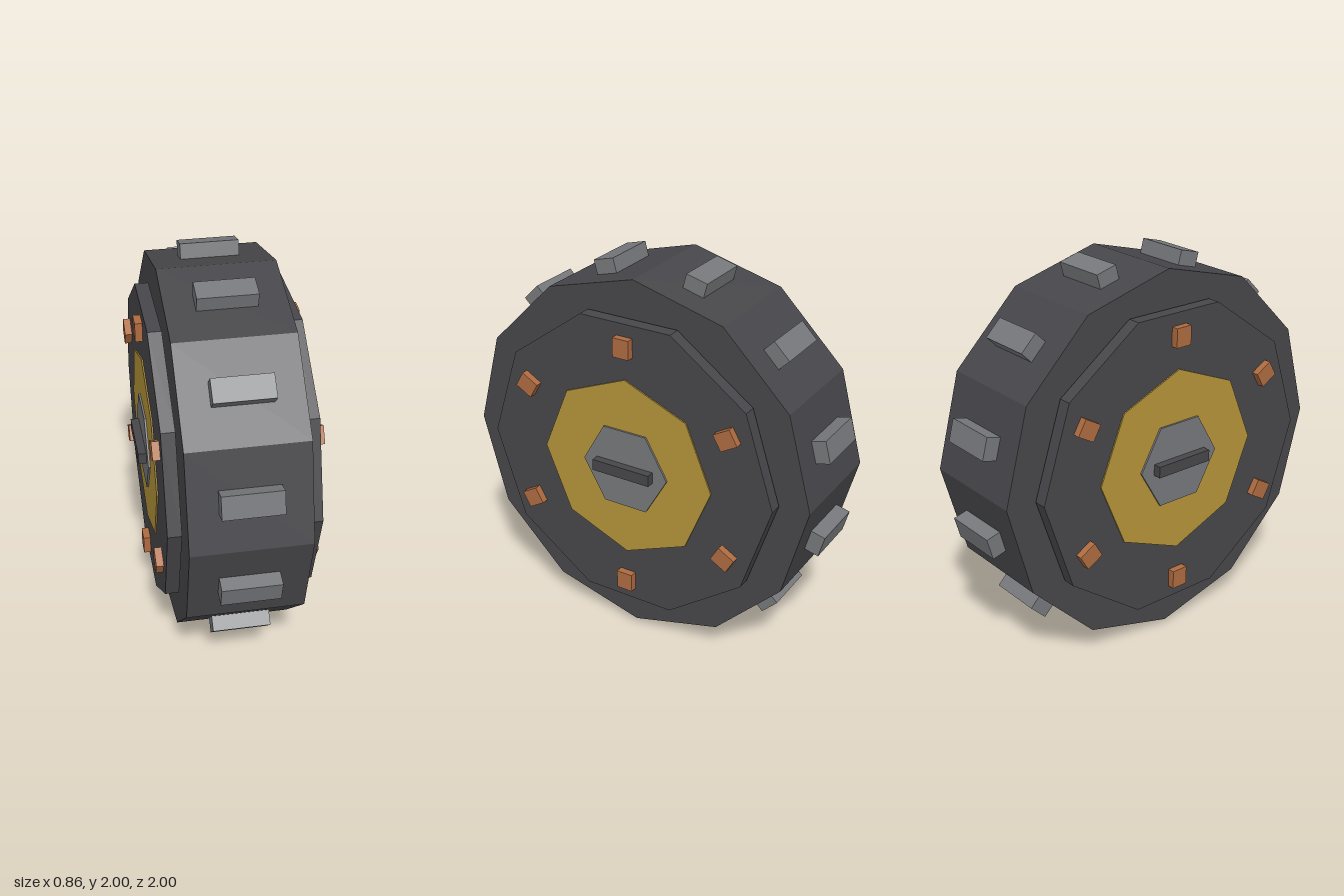
import * as THREE from 'three';

const rubber = new THREE.MeshStandardMaterial({ color: 0x47474b });
rubber.name = 'dark rubber';
const steel = new THREE.MeshStandardMaterial({ color: 0x76787b });
steel.name = 'grey steel';
const brass = new THREE.MeshStandardMaterial({ color: 0xb4933a });
brass.name = 'brass';
const copper = new THREE.MeshStandardMaterial({ color: 0xae6b40 });
copper.name = 'copper';

// Faceted disc with its axis along x, spanning x0..x1, one corner on the z axis
function disc(name, radius, sides, x0, x1, material) {
  const indexed = new THREE.CylinderGeometry(radius, radius, x1 - x0, sides);
  indexed.rotateZ(-Math.PI / 2);
  const geometry = indexed.toNonIndexed();
  geometry.computeVertexNormals();
  const mesh = new THREE.Mesh(geometry, material);
  mesh.name = name;
  mesh.position.x = (x0 + x1) / 2;
  return mesh;
}

// Block set at a distance from the axle and turned to face outward
function radialBlock(name, size, x, radius, angle, material) {
  const mesh = new THREE.Mesh(new THREE.BoxGeometry(...size), material);
  mesh.name = name;
  mesh.position.set(x, Math.cos(angle) * radius, Math.sin(angle) * radius);
  mesh.rotation.x = angle;
  return mesh;
}

// Everything on one face of the wheel, facing +x
function createSide(name) {
  const side = new THREE.Group();
  side.name = name;
  side.add(
    disc('sidePlate', 0.82, 10, 0.304, 0.373, rubber),
    disc('brassPlate', 0.49, 8, 0.365, 0.38, brass),
    disc('hub', 0.245, 6, 0.37, 0.39, steel),
    radialBlock('hubBar', [0.052, 0.06, 0.33], 0.406, 0, 0, rubber),
  );
  for (let i = 0; i < 6; i++) {
    side.add(radialBlock('bolt', [0.05, 0.1, 0.09], 0.385, 0.665, i * Math.PI / 3, copper));
  }
  return side;
}

export function createModel() {
  const wheel = new THREE.Group();
  wheel.name = 'wheel';
  wheel.position.y = 1;
  wheel.add(disc('tyre', 0.977, 12, -0.294, 0.294, rubber));

  // Treads in the middle of each flat
  for (let i = 0; i < 12; i++) {
    const angle = (i + 0.5) * Math.PI / 6;
    wheel.add(radialBlock('tread', [0.294, 0.09, 0.117], 0, 0.975, angle, steel));
  }

  const left = createSide('leftSide');
  const right = createSide('rightSide');
  right.rotation.y = Math.PI;
  wheel.add(left, right);

  const model = new THREE.Group();
  model.add(wheel);
  return model;
}
